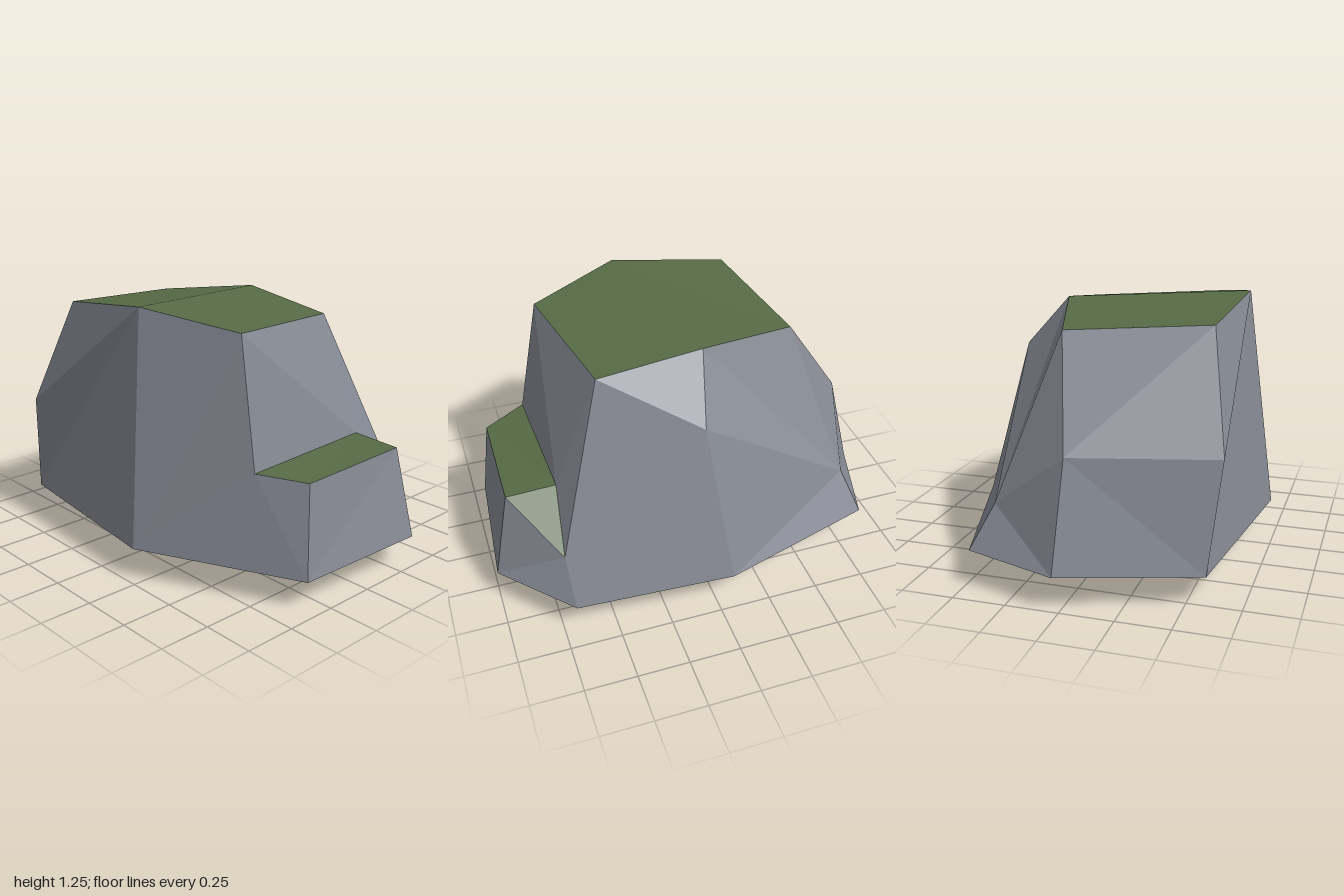
import * as THREE from 'three';

// Named corners of the faceted boulder
const P = {
  foot: [0.22, 0, 0.02],
  // rim just above the ground
  b0: [-0.35, 0.14, 0.95], b1: [0.32, 0.16, 1.0], b2: [0.67, 0.17, 0.69], b3: [0.72, 0.18, -0.07],
  b4: [0.48, 0.17, -0.86], b5: [0.03, 0.16, -1.0], b6: [-0.59, 0.14, -0.76], b7: [-0.72, 0.155, 0.21],
  // shoulders
  s: [0.53, 0.95, 0.02], c: [0.38, 0.38, -0.78], m5: [0.01, 0.66, -0.88], m6: [-0.64, 0.65, -0.68],
  // front ledge
  la: [-0.3, 0.57, 0.9], lb: [0.28, 0.59, 0.91], lc: [0.28, 0.6, 0.67], ld: [-0.42, 0.585, 0.69], le: [0.52, 0.36, 0.7],
  // summit
  t0: [-0.54, 1.18, -0.45], t1: [0.13, 1.14, -0.55], t2: [0.28, 1.21, -0.05],
  t3: [0.27, 1.145, 0.45], t4: [-0.4, 1.18, 0.58], t5: [-0.59, 1.25, 0.13],
};

const core = new THREE.Vector3(0, 0.45, 0);

// Each face is a fan of corners; every triangle is turned to face away from the core
function facets(name, material, faces) {
  const pos = [];
  for (const face of faces) {
    const v = face.split(' ').map((k) => new THREE.Vector3(...P[k]));
    for (let i = 1; i < v.length - 1; i++) {
      const tri = new THREE.Triangle(v[0], v[i], v[i + 1]);
      const normal = tri.getNormal(new THREE.Vector3());
      const out = tri.getMidpoint(new THREE.Vector3()).sub(core);
      const order = normal.dot(out) > 0 ? [tri.a, tri.b, tri.c] : [tri.a, tri.c, tri.b];
      for (const p of order) pos.push(p.x, p.y, p.z);
    }
  }
  const geo = new THREE.BufferGeometry();
  geo.setAttribute('position', new THREE.Float32BufferAttribute(pos, 3));
  geo.computeVertexNormals();
  const mesh = new THREE.Mesh(geo, material);
  mesh.name = name;
  return mesh;
}

export function createModel() {
  const stone = new THREE.MeshStandardMaterial({ color: 0x868a94 });
  stone.name = 'grey stone';
  const moss = new THREE.MeshStandardMaterial({ color: 0x566b46 });
  moss.name = 'green moss';

  const rock = new THREE.Group();
  rock.name = 'mossyRock';
  rock.add(
    facets('frontFace', stone, [
      'b0 b1 lb', 'b0 lb la', 'b0 la ld', 'b1 le lb', 'b1 b2 le',
      'lc t3 t4 ld', 'lc le t3',
    ]),
    facets('leftSide', stone, [
      'le s t3', 't3 s t2', 'le b2 s', 'b2 b3 s', 's b3 c', 'b3 b4 c', 's c t2', 't2 c t1',
    ]),
    facets('backFace', stone, [
      't1 c m5', 'm5 c b5', 'c b4 b5', 'm5 t0 t1', 'm5 m6 t0', 'm5 b5 b6', 'm5 b6 m6',
    ]),
    facets('rightSide', stone, [
      'b6 b7 t5', 'b6 t5 m6', 'm6 t5 t0', 'b7 b0 ld t4 t5',
    ]),
    facets('underside', stone, ['foot b5 b6 b7 b0 b1 b2 b3', 'foot b3 b5', 'b3 b4 b5']),
    facets('mossyTop', moss, ['t5 t4 t3 t2', 't5 t2 t1 t0']),
    facets('mossyLedge', moss, ['la lb lc ld', 'lb le lc']),
  );
  return rock;
}
